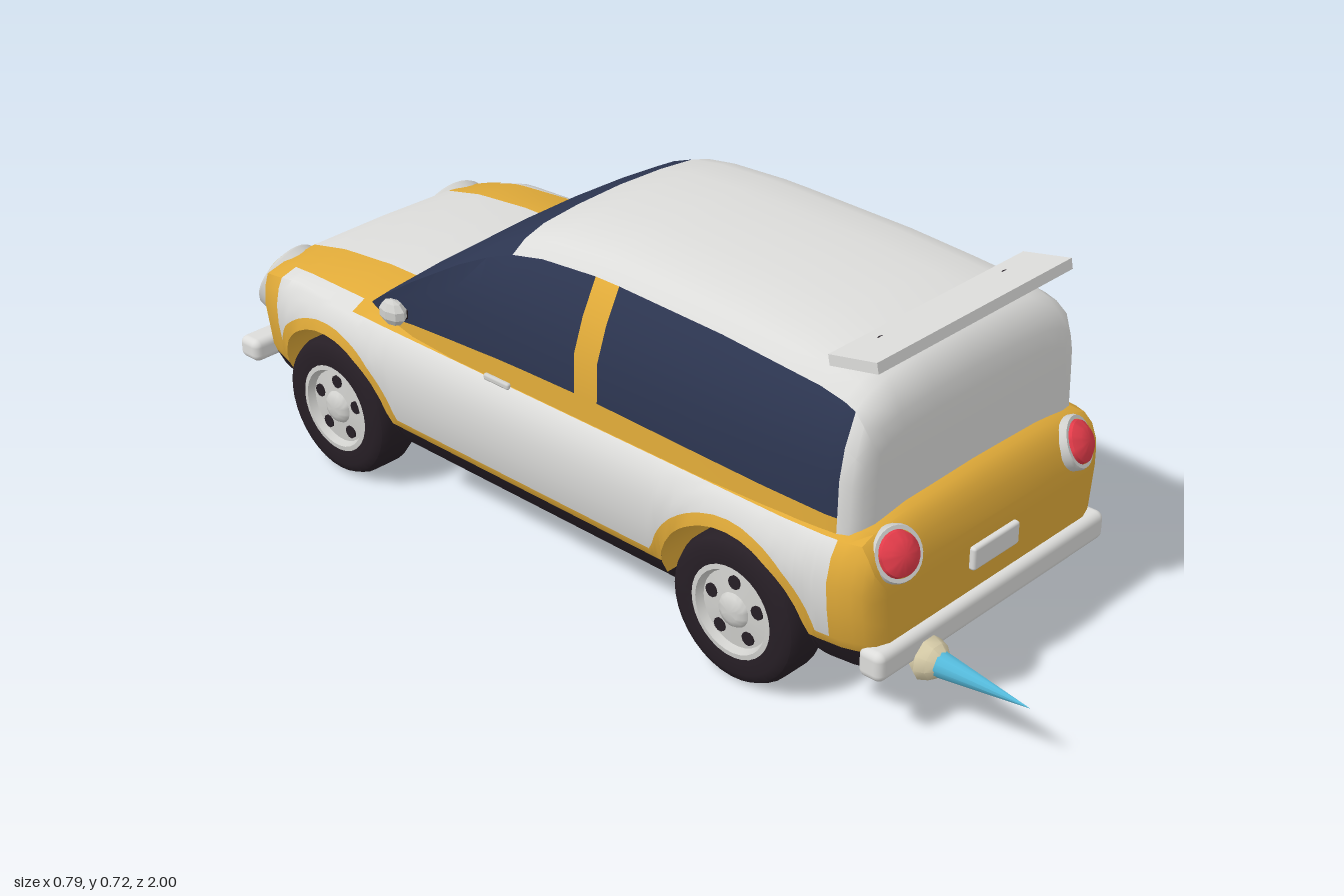
import * as THREE from 'three';
import { toCreasedNormals } from 'three/addons/utils/BufferGeometryUtils.js';
import { RoundedBoxGeometry } from 'three/addons/geometries/RoundedBoxGeometry.js';

const paint = (name, color) => Object.assign(new THREE.MeshStandardMaterial({ color }), { name });
const yellow = paint('yellow paint', 0xe1ab39);
const white = paint('white paint', 0xdcdcda);
const navy = paint('navy glass', 0x2c3550);
const black = paint('black rubber', 0x261e25);
const chrome = paint('light metal', 0xcfcfcc);
const red = paint('red lens', 0xe13b49);
const cream = paint('cream', 0xd8cda9);
const cyan = paint('cyan flame', 0x54b9da);

const clamp = THREE.MathUtils.clamp;

// Linear lookup of column c in rows sorted by their first value
function look(rows, v, c = 1) {
  if (v <= rows[0][0]) return rows[0][c];
  for (let i = 1; i < rows.length; i++) {
    const a = rows[i - 1], b = rows[i];
    if (v <= b[0]) return a[c] + (b[c] - a[c]) * (v - a[0]) / (b[0] - a[0]);
  }
  return rows[rows.length - 1][c];
}

// Skin mirrored half-sections along z; pick(band, z) chooses each face's material
function loft(name, zs, section, mats, pick, capMats) {
  const n = section(zs[0]).length - 1, M = 2 * n;
  const pos = [], faces = mats.map(() => []);
  for (const z of zs) {
    const half = section(z);
    for (let j = 0; j < M; j++) {
      const p = half[j <= n ? j : M - j];
      pos.push(j <= n ? p[0] : -p[0], p[1], z);
    }
  }
  for (let i = 0; i + 1 < zs.length; i++) for (let j = 0; j < M; j++) {
    const a = i * M + j, b = i * M + (j + 1) % M, c = b + M, d = a + M;
    const m = pick(j < n ? j : M - 1 - j, (zs[i] + zs[i + 1]) / 2);
    faces[mats.indexOf(m)].push(a, b, d, b, c, d);
  }
  const last = (zs.length - 1) * M;
  for (let j = 0; j < n; j++) {
    const a = j, b = j + 1, c = (M - j - 1) % M, d = (M - j) % M;
    faces[mats.indexOf(capMats[0])].push(a, c, b, a, d, c);
    faces[mats.indexOf(capMats[1])].push(last + a, last + b, last + c, last + a, last + c, last + d);
  }
  const geo = new THREE.BufferGeometry();
  geo.setAttribute('position', new THREE.Float32BufferAttribute(pos, 3));
  geo.setIndex(faces.flat());
  let start = 0;
  faces.forEach((f, k) => { geo.addGroup(start, f.length, k); start += f.length; });
  const mesh = new THREE.Mesh(toCreasedNormals(geo, 0.65), mats);
  mesh.name = name;
  return mesh;
}

function add(parent, name, geo, mat, x = 0, y = 0, z = 0) {
  const mesh = new THREE.Mesh(geo, mat);
  mesh.name = name;
  mesh.position.set(x, y, z);
  parent.add(mesh);
  return mesh;
}

const lathe = (pts, sides) =>
  toCreasedNormals(new THREE.LatheGeometry(pts.map(p => new THREE.Vector2(...p)), sides), 0.7);

const WHEELS = [0.444, -0.658], HUB = 0.15, ARCH = 0.18, LIP = 0.204;

// Lower body: z, half width, deck height, floor height
const HULL = [
  [-0.97, 0.20, 0.29, 0.21], [-0.96, 0.25, 0.33, 0.18], [-0.94, 0.29, 0.365, 0.16], [-0.9, 0.33, 0.39, 0.14],
  [-0.8, 0.36, 0.412, 0.125], [-0.65, 0.372, 0.428, 0.12], [-0.5, 0.374, 0.43, 0.12], [0.55, 0.374, 0.43, 0.12],
  [0.64, 0.369, 0.43, 0.123], [0.69, 0.362, 0.425, 0.126], [0.715, 0.353, 0.415, 0.13], [0.732, 0.343, 0.397, 0.135],
  [0.745, 0.33, 0.37, 0.142], [0.755, 0.3, 0.33, 0.16]];
const FLANK = [[0.12, 0.82], [0.15, 0.9], [0.2, 0.96], [0.3, 1], [0.34, 0.988], [0.37, 0.957], [0.39, 0.918]];

function arch(z, r) {
  let y = 0;
  for (const c of WHEELS) {
    const d = Math.abs(z - c);
    if (d <= r + 1e-6) y = HUB - 0.005 + Math.sqrt(Math.max(0, r * r - d * d));
  }
  return y;
}

function hullSection(z) {
  const w = look(HULL, z, 1), t = look(HULL, z, 2);
  const b = Math.max(look(HULL, z, 3), arch(z, ARCH));
  const shoulder = Math.min(0.39, t - 0.025);
  const sill = Math.max(b, Math.min(0.18, shoulder));
  const trim = clamp(arch(z, LIP), Math.max(sill, 0.2), shoulder);
  const at = y => [w * look(FLANK, y), y];
  const mix = f => trim + (shoulder - trim) * f;
  return [[0, b], at(b), at(sill), at(trim), at(mix(0.3)), at(mix(0.6)), at(mix(0.85)), at(shoulder),
    [w * 0.83, shoulder + (t - shoulder) * 0.45], [Math.min(0.19, w * 0.75), shoulder + (t - shoulder) * 0.88], [0, t]];
}

function makeHull() {
  const zs = [...HULL.map(r => r[0]), -0.92, -0.84, -0.57, -0.3, 0, 0.67];
  for (const c of WHEELS) for (const r of [ARCH, LIP]) {
    for (let k = 0; k <= 18; k++) zs.push(c + r * Math.cos(k / 18 * Math.PI));
    zs.push(c - r - 0.002, c + r + 0.002);
  }
  zs.sort((a, b) => a - b);
  const stations = zs.filter((z, i) => !i || z - zs[i - 1] > 1e-4);
  return loft('lowerBody', stations, hullSection, [yellow, white, black], (j, z) => {
    if (j === 0) return arch(z, ARCH) || z < -0.83 ? yellow : black;
    if (j === 1) return z < -0.9 || z > 0.74 ? yellow : black;
    if (j >= 3 && j <= 6) return z > -0.84 && z < 0.67 ? white : yellow;
    if (j === 7) return z > -0.84 && z < -0.6 ? white : yellow;
    if (j === 9) return z > -0.92 && z < -0.57 ? white : yellow;
    return yellow;
  }, [yellow, yellow]);
}

// Cabin: z, roof height, window sill height, width scale
const CABIN = [
  [-0.57, 0.415, 0.395, 0.91], [-0.53, 0.45, 0.398, 0.94], [-0.42, 0.535, 0.42, 0.985], [-0.3, 0.622, 0.43, 1],
  [-0.235, 0.66, 0.433, 1], [-0.175, 0.686, 0.436, 1], [-0.1, 0.702, 0.438, 1], [0.035, 0.712, 0.44, 1],
  [0.095, 0.712, 0.44, 1], [0.35, 0.706, 0.435, 1], [0.5, 0.695, 0.43, 0.99], [0.58, 0.688, 0.428, 0.98],
  [0.635, 0.676, 0.425, 0.967], [0.66, 0.665, 0.425, 0.957], [0.682, 0.64, 0.425, 0.935], [0.695, 0.605, 0.425, 0.88],
  [0.7, 0.57, 0.425, 0.8]];
const TUMBLE = [[0.42, 0.341], [0.52, 0.338], [0.58, 0.318], [0.655, 0.279], [0.715, 0.25]];
const RISE = [[0, 1], [0.3, 1], [0.55, 1], [0.8, 1], [0.89, 0.92], [0.95, 0.76], [0.985, 0.43], [1, 0]];

function cabinSection(z) {
  const h = look(CABIN, z, 1), sill = look(CABIN, z, 2), s = look(CABIN, z, 3);
  const ring = RISE.map(([f, k]) => {
    const y = sill + (h - sill) * f;
    return [look(TUMBLE, y) * k * s, y];
  });
  return [[0, 0.37], [0.343 * s, 0.37], ...ring];
}

const makeCabin = () => loft('cabin', CABIN.map(r => r[0]), cabinSection, [navy, white, yellow], (j, z) => {
  if (z > 0.66) return white;
  if (j < 2) return yellow;
  if (j >= 5) return z > -0.175 ? white : navy;
  return z > 0.035 && z < 0.095 ? yellow : navy;
}, [navy, white]);

// Wheel with its axle on y, outer face up
function makeWheel() {
  const g = new THREE.Group();
  g.name = 'wheel';
  add(g, 'tire', lathe([[0.085, -0.05], [0.125, -0.055], [0.142, -0.047], [0.15, -0.03], [0.15, 0.03],
    [0.142, 0.047], [0.125, 0.055], [0.095, 0.052], [0.09, 0.04]], 36), black);
  add(g, 'rim', lathe([[0, -0.052], [0.088, -0.052], [0.095, -0.04], [0.095, 0.052], [0.085, 0.053], [0.078, 0.038],
    [0.035, 0.042], [0.03, 0.05], [0.018, 0.055], [0, 0.056]], 30), chrome);
  for (let k = 0; k < 5; k++) {
    const a = k / 5 * Math.PI * 2;
    add(g, 'rimHole', new THREE.CylinderGeometry(0.014, 0.014, 0.008, 10), black,
      Math.cos(a) * 0.058, 0.039, Math.sin(a) * 0.058);
  }
  return g;
}

// Round lamp whose lens faces the given direction
function makeLamp(name, r, inner, lens, at, dir) {
  const g = new THREE.Group();
  g.name = name;
  add(g, 'lampRing', lathe([[0, -0.05], [r * 0.85, -0.05], [r, -0.01], [r, 0.008], [r * 0.95, 0.014], [inner, 0.014]], 28), chrome);
  add(g, 'lens', lathe([[inner, 0.008], [inner * 0.94, 0.02], [inner * 0.6, 0.031], [0, 0.036]], 28), lens);
  g.position.set(...at);
  g.quaternion.setFromUnitVectors(new THREE.Vector3(0, 1, 0), new THREE.Vector3(...dir).normalize());
  return g;
}

export function createModel() {
  const car = new THREE.Group();
  car.name = 'car';
  car.add(makeHull(), makeCabin());

  for (const s of [1, -1]) {
    for (const z of WHEELS) {
      const wheel = makeWheel();
      wheel.rotation.z = -s * Math.PI / 2;
      wheel.position.set(s * 0.305, HUB, z);
      car.add(wheel);
    }
    car.add(makeLamp('headlight', 0.08, 0.067, cream, [s * 0.235, 0.315, -0.935], [s * 0.12, 0.42, -0.9]));
    car.add(makeLamp('tailLight', 0.053, 0.043, red, [s * 0.262, 0.358, 0.737], [s * 0.22, 0.42, 0.88]));
    // Mirrors, handles and spoiler posts
    add(car, 'mirrorStalk', new THREE.BoxGeometry(0.05, 0.018, 0.02), black, s * 0.345, 0.436, -0.445);
    const shell = toCreasedNormals(new THREE.SphereGeometry(0.027, 8, 5), 0.1);
    add(car, 'mirror', shell, chrome, s * 0.375, 0.459, -0.43).scale.set(0.8, 1, 1.3);
    add(car, 'doorHandle', new RoundedBoxGeometry(0.012, 0.014, 0.07, 2, 0.005), chrome, s * 0.344, 0.39, -0.17);
    add(car, 'spoilerPost', new THREE.CylinderGeometry(0.01, 0.01, 0.04, 10), black, s * 0.175, 0.683, 0.625);
  }

  // Spoiler, bumpers, plate and nose trim
  add(car, 'spoiler', new THREE.BoxGeometry(0.55, 0.021, 0.108), white, 0, 0.697, 0.642).rotation.x = -0.2;
  add(car, 'rearBumper', new RoundedBoxGeometry(0.67, 0.06, 0.055, 3, 0.016), white, 0, 0.164, 0.747);
  add(car, 'frontBumper', new RoundedBoxGeometry(0.67, 0.05, 0.06, 3, 0.016), white, 0, 0.165, -0.97);
  add(car, 'numberPlate', new RoundedBoxGeometry(0.135, 0.048, 0.016, 2, 0.006), white, 0, 0.265, 0.759);
  add(car, 'grilleSlot', new RoundedBoxGeometry(0.18, 0.034, 0.02, 3, 0.01), black, 0, 0.235, -0.972);
  add(car, 'noseDisc', new THREE.CylinderGeometry(0.028, 0.028, 0.03, 16), chrome, 0, 0.295, -0.968).rotation.x = -1.4;

  // Exhaust nozzle with flame
  const nozzle = add(car, 'exhaustNozzle', lathe([[0, -0.1], [0.018, -0.1], [0.02, -0.035], [0.043, 0], [0.036, 0.02],
    [0.022, 0.035], [0, 0.035]], 9), cream, -0.202, 0.13, 0.775);
  nozzle.rotation.x = Math.PI / 2;
  const flame = add(car, 'exhaustFlame', new THREE.ConeGeometry(0.027, 0.21, 12), cyan, -0.202, 0.13, 0.895);
  flame.rotation.x = Math.PI / 2;
  return car;
}
